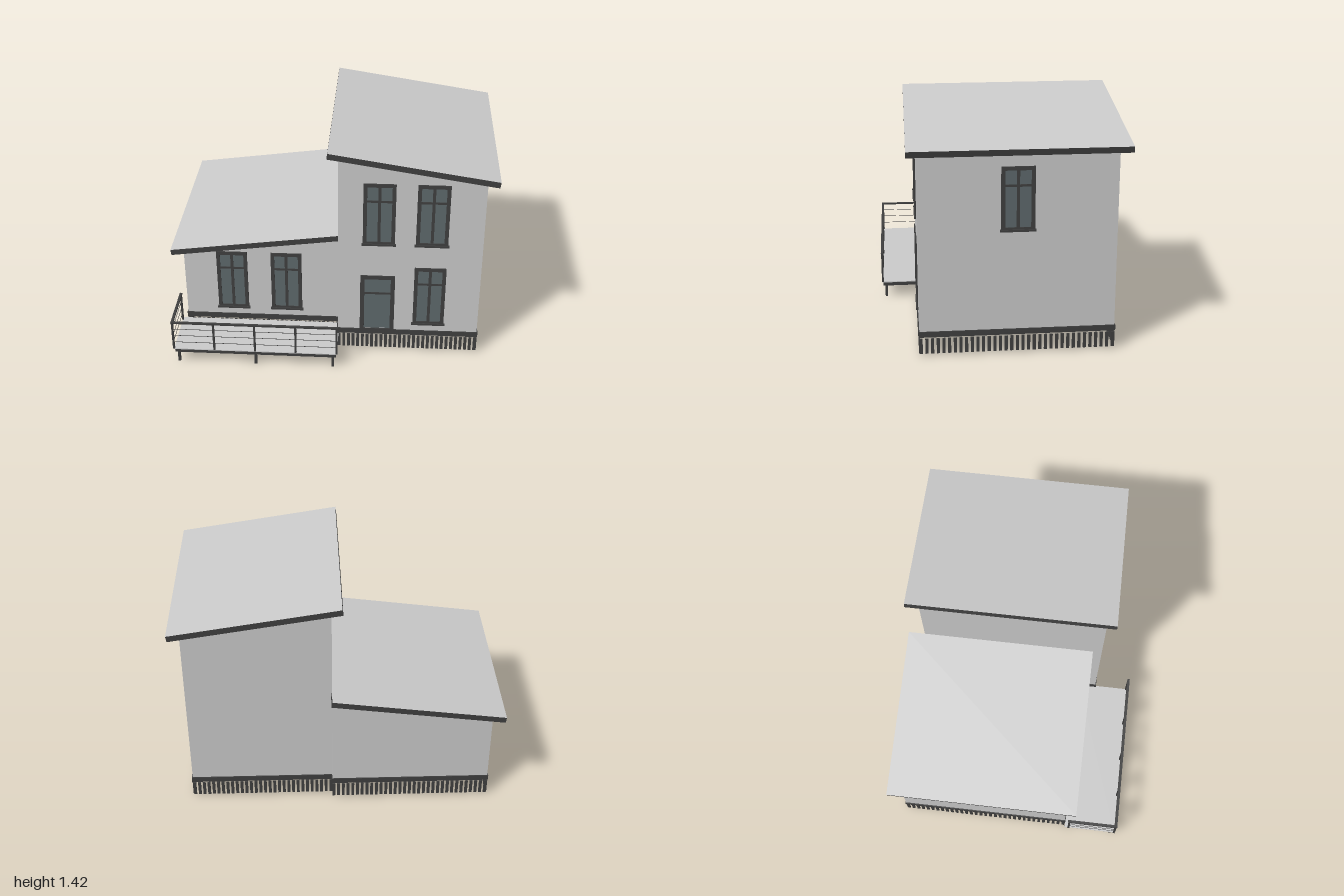
import * as THREE from 'three';

const mat = (name, color) => Object.assign(new THREE.MeshStandardMaterial({ color }), { name });

export function createModel() {
  const light = mat('light plaster', 0xcccccc);
  const trim = mat('dark trim', 0x404040);
  const glass = mat('window glass', 0x5f6a6d);
  const wood = mat('soffit wood', 0x6b5642);
  const house = new THREE.Group();
  house.name = 'house';

  // Box given by its minimum and maximum corners
  function box(parent, name, material, x0, x1, y0, y1, z0, z1) {
    const mesh = new THREE.Mesh(new THREE.BoxGeometry(x1 - x0, y1 - y0, z1 - z0), material);
    mesh.position.set((x0 + x1) / 2, (y0 + y1) / 2, (z0 + z1) / 2);
    mesh.name = name;
    parent.add(mesh);
    return mesh;
  }
  function group(name, parent = house) {
    const g = new THREE.Group();
    g.name = name;
    parent.add(g);
    return g;
  }

  // Wall block with a sloping top
  function walls(name, x0, x1, yLeft, yRight, z0, z1) {
    const shape = new THREE.Shape([
      new THREE.Vector2(x0, 0.12), new THREE.Vector2(x1, 0.12),
      new THREE.Vector2(x1, yRight), new THREE.Vector2(x0, yLeft),
    ]);
    const geo = new THREE.ExtrudeGeometry(shape, { depth: z1 - z0, bevelEnabled: false });
    const mesh = new THREE.Mesh(geo, light);
    mesh.position.z = z0;
    mesh.name = name;
    house.add(mesh);
  }

  // Roof slab laid along the underside line from (x0, y0) to (x1, y1)
  function roof(name, x0, y0, x1, y1, z0, z1) {
    const t = 0.037;
    const angle = Math.atan2(y1 - y0, x1 - x0);
    const geo = new THREE.BoxGeometry(Math.hypot(x1 - x0, y1 - y0), t, z1 - z0);
    geo.translate(0, t / 2, 0);
    const mesh = new THREE.Mesh(geo, [trim, trim, light, wood, trim, trim]);
    mesh.rotation.z = angle;
    mesh.position.set((x0 + x1) / 2, (y0 + y1) / 2, (z0 + z1) / 2);
    mesh.name = name;
    house.add(mesh);
  }

  // Base band and the row of slats below it
  function base(name, x0, x1, z0, z1, nx, nz, rightSide) {
    const g = group(name);
    const o = 0.006;
    box(g, 'frontBand', trim, x0 - o, x1 + o, 0.12, 0.155, z1, z1 + o);
    box(g, 'backBand', trim, x0 - o, x1 + o, 0.12, 0.155, z0 - o, z0);
    box(g, 'leftBand', trim, x1, x1 + o, 0.12, 0.155, z0, z1);
    box(g, 'rightBand', trim, x0 - o, x0, 0.12, 0.155, z0, z1);
    const w = 0.009, d = 0.004, y0 = 0.015, y1 = 0.11;
    for (let i = 0; i < nx; i++) {
      const x = x0 + w + (x1 - x0 - 2 * w) * i / (nx - 1);
      for (const z of [z0, z1]) box(g, 'slat', trim, x - w, x + w, y0, y1, z - d, z + d);
    }
    for (let i = 0; i < nz; i++) {
      const z = z0 + w + (z1 - z0 - 2 * w) * i / (nz - 1);
      for (const x of rightSide ? [x0, x1] : [x0]) box(g, 'slat', trim, x - d, x + d, y0, y1, z - w, z + w);
    }
  }

  // Framed opening centred on x = 0, standing on y = 0, facing +z
  function opening(name, w, h, transom, isDoor) {
    const g = group(name);
    const f = isDoor ? 0.026 : 0.023, d = 0.007, hw = w / 2;
    box(g, 'pane', glass, -hw + f / 2, hw - f / 2, f / 2, h - f / 2, -0.002, 0.002);
    for (const s of [-1, 1]) {
      const x = s * (hw - f / 2);
      box(g, 'jamb', trim, x - f / 2, x + f / 2, 0, h, -0.003, d);
    }
    box(g, 'head', trim, -hw, hw, h - f, h, -0.003, d);
    box(g, 'bottomRail', trim, -hw, hw, 0, isDoor ? 0.01 : f, -0.003, d);
    box(g, 'transom', trim, -hw, hw, h - transom - 0.007, h - transom + 0.007, -0.003, 0.005);
    if (!isDoor) {
      box(g, 'mullion', trim, -0.009, 0.009, 0, h, -0.003, 0.005);
      box(g, 'sill', trim, -hw - 0.007, hw + 0.007, -0.003, 0.01, -0.003, 0.013);
    }
    return g;
  }

  // Tower and low wing
  walls('towerWalls', 0.05, 0.93, 1.378, 1.241, -0.64, 0.512);
  walls('wingWalls', -0.93, 0.05, 0.635, 0.766, -0.68, 0.395);
  roof('towerRoof', -0.015, 1.387, 0.993, 1.23, -0.705, 0.568);
  roof('wingRoof', -0.995, 0.625, 0.055, 0.766, -0.745, 0.455);
  base('towerBase', 0.05, 0.93, -0.64, 0.512, 30, 35, true);
  base('wingBase', -0.93, 0.05, -0.68, 0.395, 33, 33, false);

  // Windows and door
  for (const [x, y, z] of [
    [0.298, 0.785, 0.512], [0.62, 0.785, 0.512], [0.62, 0.205, 0.512],
    [-0.627, 0.205, 0.395], [-0.283, 0.205, 0.395],
  ]) opening('frontWindow', 0.195, 0.422, 0.12, false).position.set(x, y, z);
  const side = opening('sideWindow', 0.195, 0.385, 0.113, false);
  side.position.set(0.93, 0.765, -0.063);
  side.rotation.y = Math.PI / 2;
  opening('frontDoor', 0.215, 0.408, 0.13, true).position.set(0.297, 0.152, 0.512);

  // Deck with legs
  const deck = group('deck');
  box(deck, 'deckFrame', trim, -0.96, 0.05, 0.08, 0.104, 0.4, 0.728);
  box(deck, 'deckBoards', light, -0.965, 0.055, 0.104, 0.11, 0.4, 0.733);
  for (const x of [-0.94, -0.455, 0.03]) {
    for (const z of [0.425, 0.708]) box(deck, 'deckLeg', trim, x - 0.008, x + 0.008, 0, 0.08, z - 0.008, z + 0.008);
  }

  // Railing along the front and the outer end
  const rail = group('railing');
  const post = (x, z) => box(rail, 'post', trim, x - 0.006, x + 0.006, 0.11, 0.306, z - 0.006, z + 0.006);
  for (let i = 0; i < 5; i++) post(-0.965 + i * 0.255, 0.731);
  post(-0.965, 0.425);
  box(rail, 'frontHandrail', trim, -0.973, 0.063, 0.302, 0.312, 0.723, 0.739);
  box(rail, 'endHandrail', trim, -0.973, -0.957, 0.302, 0.312, 0.415, 0.723);
  for (const y of [0.16, 0.21, 0.258]) {
    box(rail, 'frontCable', trim, -0.965, 0.055, y - 0.0012, y + 0.0012, 0.73, 0.7324);
    box(rail, 'endCable', trim, -0.9662, -0.9638, y - 0.0012, y + 0.0012, 0.425, 0.731);
  }

  return house;
}
